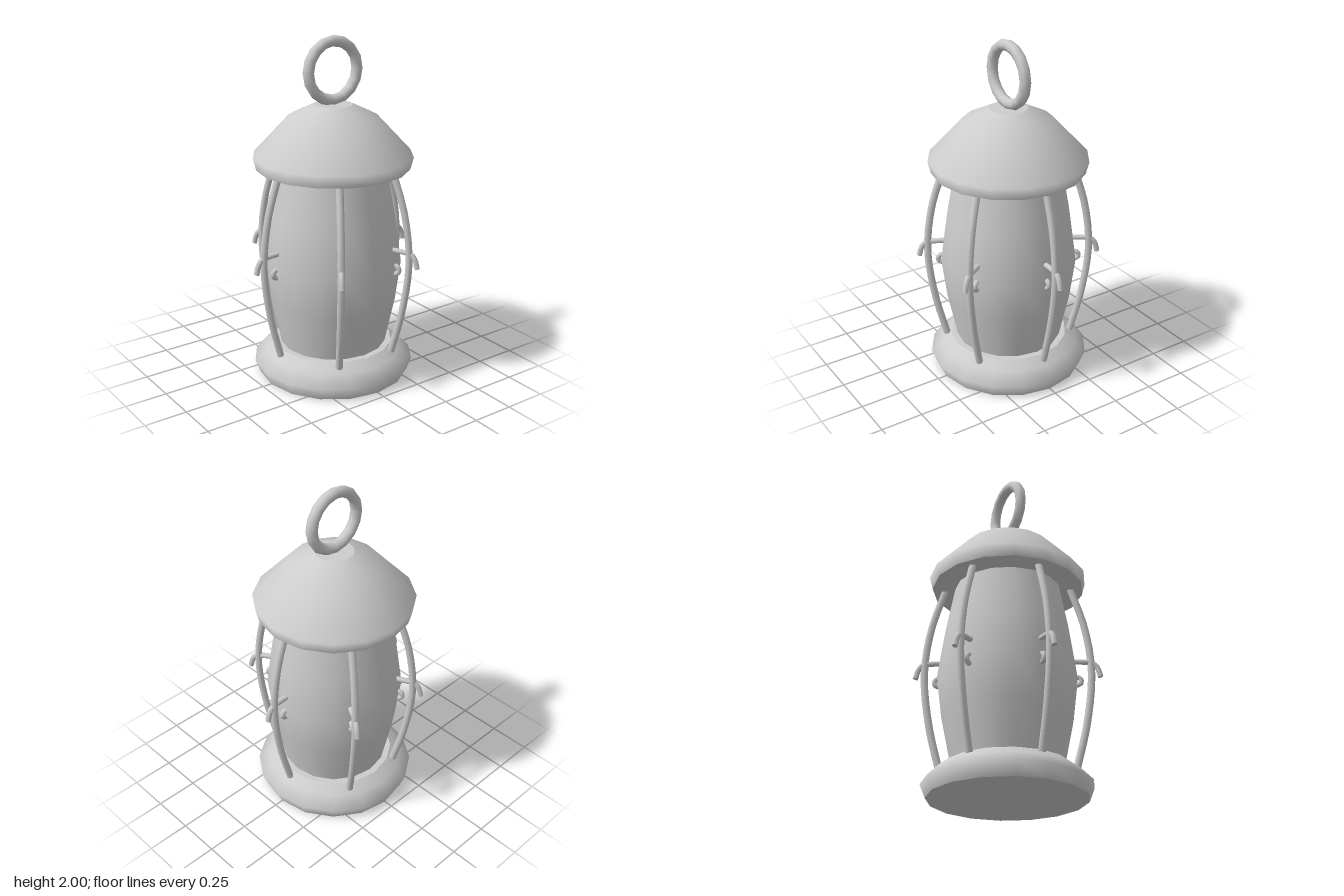
import * as THREE from 'three';

const metal = new THREE.MeshStandardMaterial({ color: 0xcccccc });
metal.name = 'pale grey';

const SIDES = 16;

function addMesh(parent, name, geometry) {
  const mesh = new THREE.Mesh(geometry, metal);
  mesh.name = name;
  parent.add(mesh);
  return mesh;
}

// Smooth turned shell, profile given from bottom to top as [radius, y]
function addTurned(parent, name, profile) {
  const points = profile.map(([r, y]) => new THREE.Vector2(r, y));
  return addMesh(parent, name, new THREE.LatheGeometry(points, SIDES));
}

// Flat round lid, facing up or down
function addDisc(parent, name, radius, y, up) {
  const disc = addMesh(parent, name, new THREE.CircleGeometry(radius, SIDES));
  disc.rotation.x = up ? -Math.PI / 2 : Math.PI / 2;
  disc.position.y = y;
}

// Round rod through [radius, y] points, closed at both ends
function addRod(parent, name, path, thickness, steps) {
  const curve = new THREE.CatmullRomCurve3(path.map(([x, y]) => new THREE.Vector3(x, y, 0)));
  const group = new THREE.Group();
  group.name = name;
  addMesh(group, name + 'Rod', new THREE.TubeGeometry(curve, steps, thickness, 8));
  for (const t of [0, 1]) {
    const cap = addMesh(group, name + 'End', new THREE.CircleGeometry(thickness, 8));
    const outward = curve.getTangent(t).multiplyScalar(t ? 1 : -1);
    cap.position.copy(curve.getPoint(t));
    cap.quaternion.setFromUnitVectors(new THREE.Vector3(0, 0, 1), outward);
  }
  parent.add(group);
}

export function createModel() {
  const lantern = new THREE.Group();
  lantern.name = 'lantern';

  // Rounded base
  const base = new THREE.Group();
  base.name = 'base';
  addTurned(base, 'baseRim', [[0.445, 0], [0.475, 0.075], [0.41, 0.14], [0.35, 0.185]]);
  addDisc(base, 'baseBottom', 0.445, 0, false);
  addDisc(base, 'baseTop', 0.35, 0.185, true);
  lantern.add(base);

  // Barrel-shaped globe
  addTurned(lantern, 'globe', [[0.31, 0.17], [0.37, 0.46], [0.4, 0.7], [0.36, 0.98], [0.308, 1.26]]);

  // Domed roof
  const roof = new THREE.Group();
  roof.name = 'roof';
  addTurned(roof, 'roofDome', [[0.442, 1.255], [0.46, 1.325], [0.255, 1.545], [0.11, 1.615]]);
  addDisc(roof, 'roofUnderside', 0.442, 1.255, false);
  addDisc(roof, 'roofTop', 0.11, 1.615, true);
  lantern.add(roof);

  // Carrying ring
  const ring = addMesh(lantern, 'carryingRing', new THREE.TorusGeometry(0.165, 0.032, 8, 16));
  ring.position.y = 1.803;

  // Six bowed guard bars, each with a hook and a small curl behind it
  for (let i = 0; i < 6; i++) {
    const guard = new THREE.Group();
    guard.name = 'guard' + (i + 1);
    addRod(guard, 'bar', [[0.375, 0.165], [0.44, 0.43], [0.475, 0.74], [0.442, 1.02], [0.365, 1.27]], 0.021, 14);
    addRod(guard, 'hook', [[0.37, 0.8], [0.43, 0.798], [0.485, 0.79], [0.51, 0.76], [0.525, 0.707]], 0.016, 10);
    addRod(guard, 'curl', [[0.37, 0.71], [0.408, 0.7], [0.415, 0.675], [0.4, 0.66], [0.37, 0.655]], 0.015, 10);
    guard.rotation.y = (i * Math.PI) / 3;
    lantern.add(guard);
  }

  return lantern;
}
